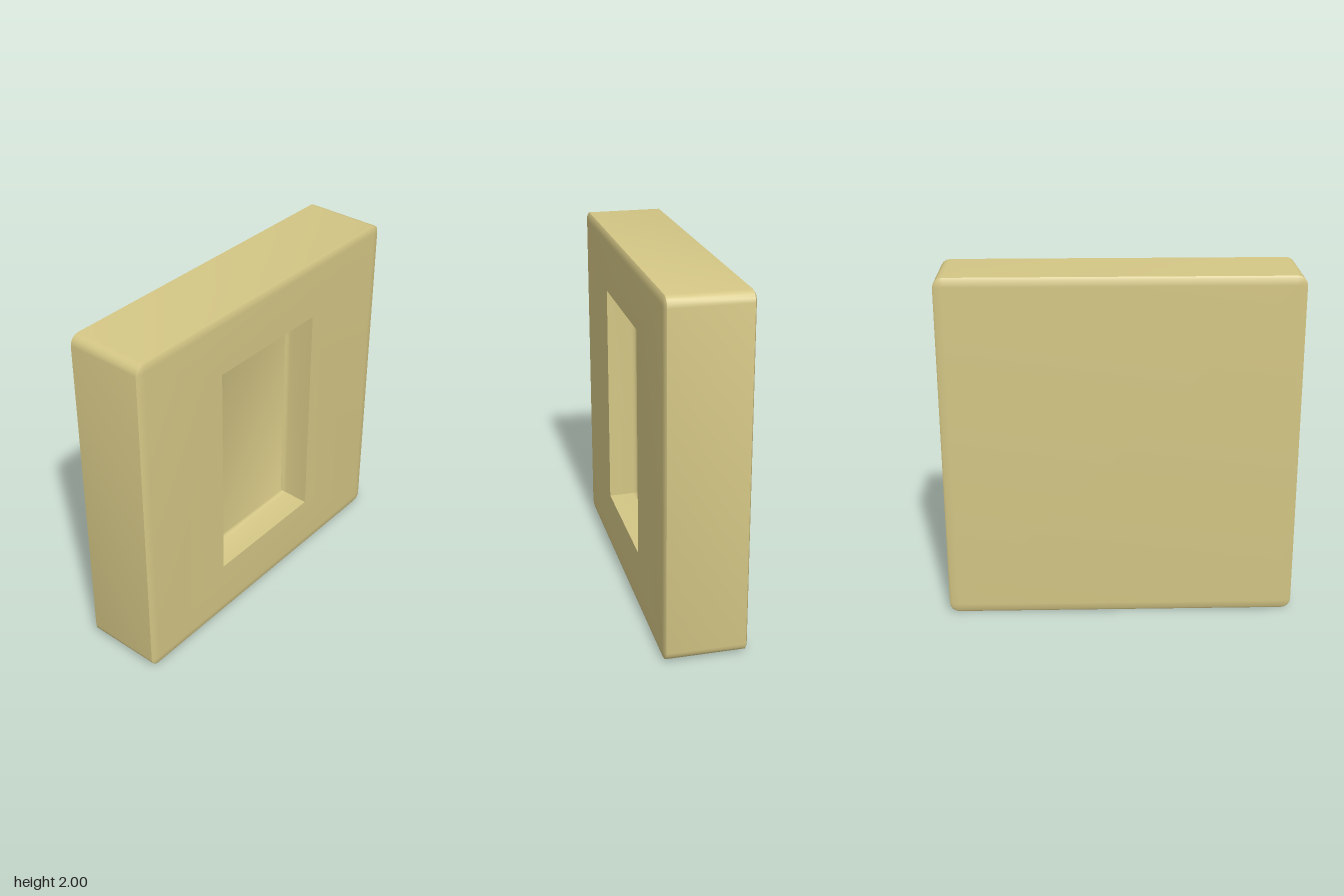
import * as THREE from 'three';
import { mergeGeometries, toCreasedNormals } from 'three/addons/utils/BufferGeometryUtils.js';

// Counter-clockwise rectangle outline; seg > 0 rounds the corners with radius r
function outline(w, h, r = 0, seg = 0) {
  const pts = [];
  [[1, -1], [1, 1], [-1, 1], [-1, -1]].forEach(([sx, sy], c) => {
    for (let i = 0; i <= seg; i++) {
      const a = (c - 1 + (seg ? i / seg : 0)) * Math.PI / 2;
      pts.push(new THREE.Vector2(sx * (w / 2 - r) + r * Math.cos(a), sy * (h / 2 - r) + r * Math.sin(a)));
    }
  });
  return pts;
}

// Skin joining successive outlines, each { pts, z }
function loft(rings) {
  const n = rings[0].pts.length;
  const pos = [], index = [];
  rings.forEach(({ pts, z }) => pts.forEach((p) => pos.push(p.x, p.y, z)));
  for (let k = 0; k < rings.length - 1; k++) {
    for (let i = 0; i < n; i++) {
      const a = k * n + i, b = k * n + (i + 1) % n;
      index.push(a, b, b + n, a, b + n, a + n);
    }
  }
  const g = new THREE.BufferGeometry();
  g.setAttribute('position', new THREE.Float32BufferAttribute(pos, 3));
  g.setIndex(index);
  return g;
}

// Flat face at depth z, optionally with a hole, facing front or back
function cap(pts, z, { hole = null, back = false } = {}) {
  const shape = new THREE.Shape(pts);
  if (hole) shape.holes.push(new THREE.Path(hole));
  const g = new THREE.ShapeGeometry(shape);
  if (back) g.rotateY(Math.PI);
  g.translate(0, 0, z);
  return g;
}

function build(name, parts, material, crease) {
  const clean = parts.map((p) => {
    const g = p.toNonIndexed();
    g.deleteAttribute('uv');
    g.deleteAttribute('normal');
    return g;
  });
  const merged = mergeGeometries(clean);
  merged.computeVertexNormals();
  const mesh = new THREE.Mesh(toCreasedNormals(merged, crease), material);
  mesh.name = name;
  mesh.position.y = 1;
  return mesh;
}

export function createModel() {
  const group = new THREE.Group();
  group.name = 'recessedPanel';
  const material = new THREE.MeshStandardMaterial({ color: 0xd4c685 });

  // Softened edge profile: [inset from the side, z]
  const half = [[0, 0.219], [0.012, 0.227], [0.05, 0.23]];
  const profile = [...half.map(([d, z]) => [d, -z]).reverse(), ...half];
  const rings = profile.map(([d, z]) => ({
    pts: outline(2 - 2 * d, 2 - 2 * d, Math.max(0.055 - d, 0.005), 4), z,
  }));
  const face = rings[rings.length - 1];

  // Slab with a rectangular opening in the front
  const opening = outline(0.775, 1.315);
  group.add(build('slab', [
    loft(rings),
    cap(face.pts, face.z, { hole: opening }),
    cap(face.pts, -face.z, { back: true }),
  ], material, 0.7));

  // Recess: near-straight walls easing into the floor
  const recess = [[0, 0.23], [0.005, 0.085], [0.012, 0.068], [0.025, 0.06]].map(([d, z]) => ({
    pts: outline(0.775 - 2 * d, 1.315 - 2 * d), z,
  }));
  const floor = recess[recess.length - 1];
  group.add(build('recess', [loft(recess), cap(floor.pts, floor.z)], material, 0.7));

  return group;
}
